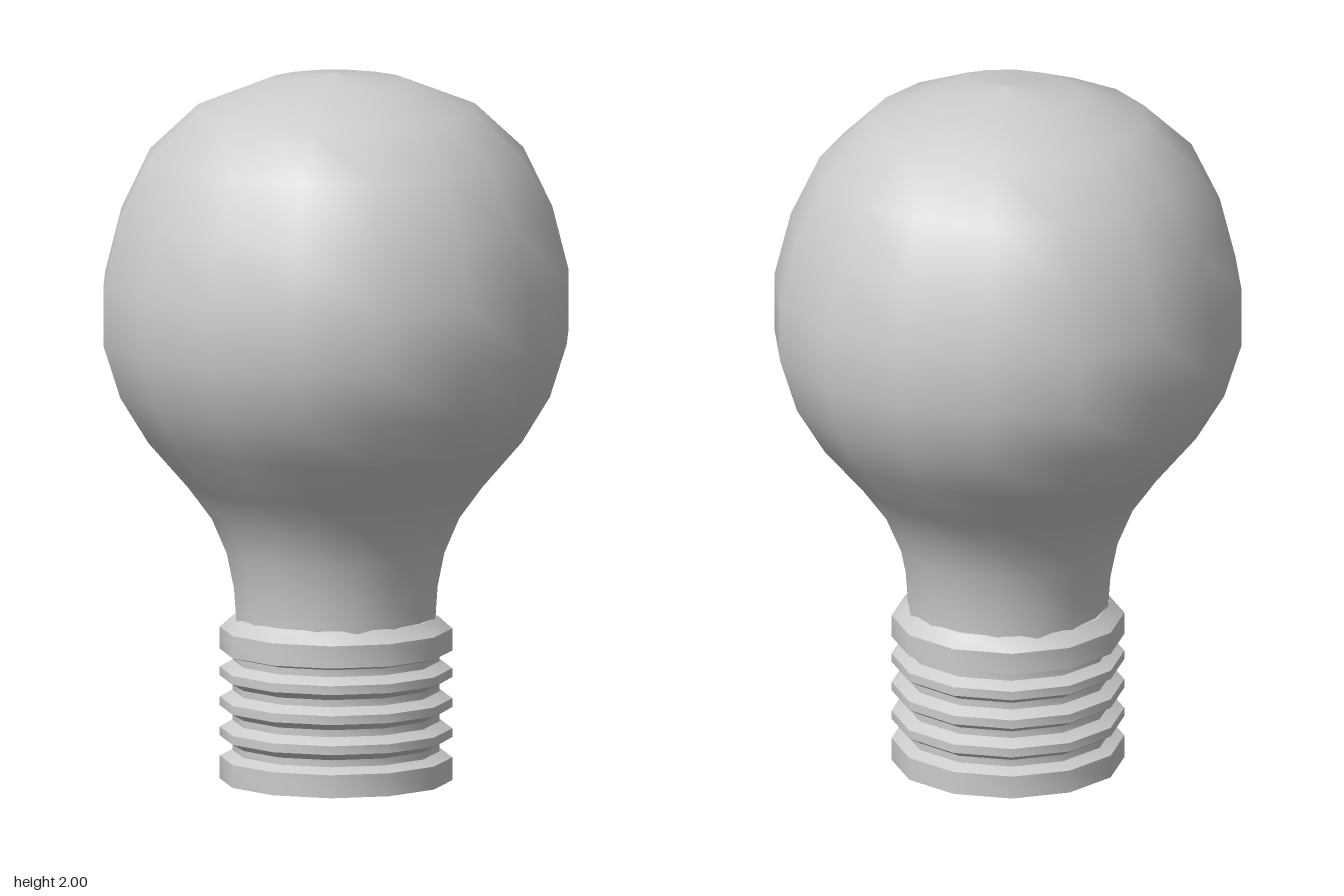
import * as THREE from 'three';
import { toCreasedNormals } from 'three/addons/utils/BufferGeometryUtils.js';

const material = new THREE.MeshStandardMaterial({ color: 0xcccccc });

// Revolve [radius, height] pairs, listed from bottom to top
function lathe(profile, sides) {
  return new THREE.LatheGeometry(profile.map(([r, y]) => new THREE.Vector2(r, y)), sides);
}

function addPart(group, name, geometry) {
  const mesh = new THREE.Mesh(geometry, material);
  mesh.name = name;
  group.add(mesh);
}

export function createModel() {
  const group = new THREE.Group();
  group.name = 'lightBulb';

  // Glass: round globe flowing into a narrow neck
  const glass = lathe([
    [0.275, 0.42], [0.278, 0.48], [0.283, 0.55], [0.303, 0.65], [0.345, 0.75], [0.41, 0.84],
    [0.52, 0.97], [0.598, 1.1], [0.645, 1.25], [0.645, 1.42], [0.6, 1.6],
    [0.52, 1.77], [0.385, 1.9], [0.2, 1.975], [0, 2],
  ], 16);
  // Slightly fuller on the diagonals
  const pos = glass.attributes.position;
  for (let i = 0; i < pos.count; i++) {
    const x = pos.getX(i), z = pos.getZ(i);
    const k = 1 + 0.03 * Math.sin(2 * Math.atan2(x, z)) ** 2;
    pos.setX(i, x * k);
    pos.setZ(i, z * k);
  }
  addPart(group, 'glass', glass);

  // Screw base: closed bottom, grooves between ridges, sloped collar
  const outer = 0.325, inner = 0.29;
  const profile = [[0, 0], [outer, 0], [outer, 0.065]];
  for (let i = 0; i < 4; i++) {
    const y = 0.092 + i * 0.085;
    profile.push([inner, y - 0.01], [inner, y + 0.01]);
    if (i < 3) profile.push([outer, y + 0.03], [outer, y + 0.055]);
  }
  profile.push([outer, 0.367], [outer, 0.43], [0.285, 0.465], [0, 0.475]);
  addPart(group, 'screwBase', toCreasedNormals(lathe(profile, 12), 0.65));

  return group;
}
